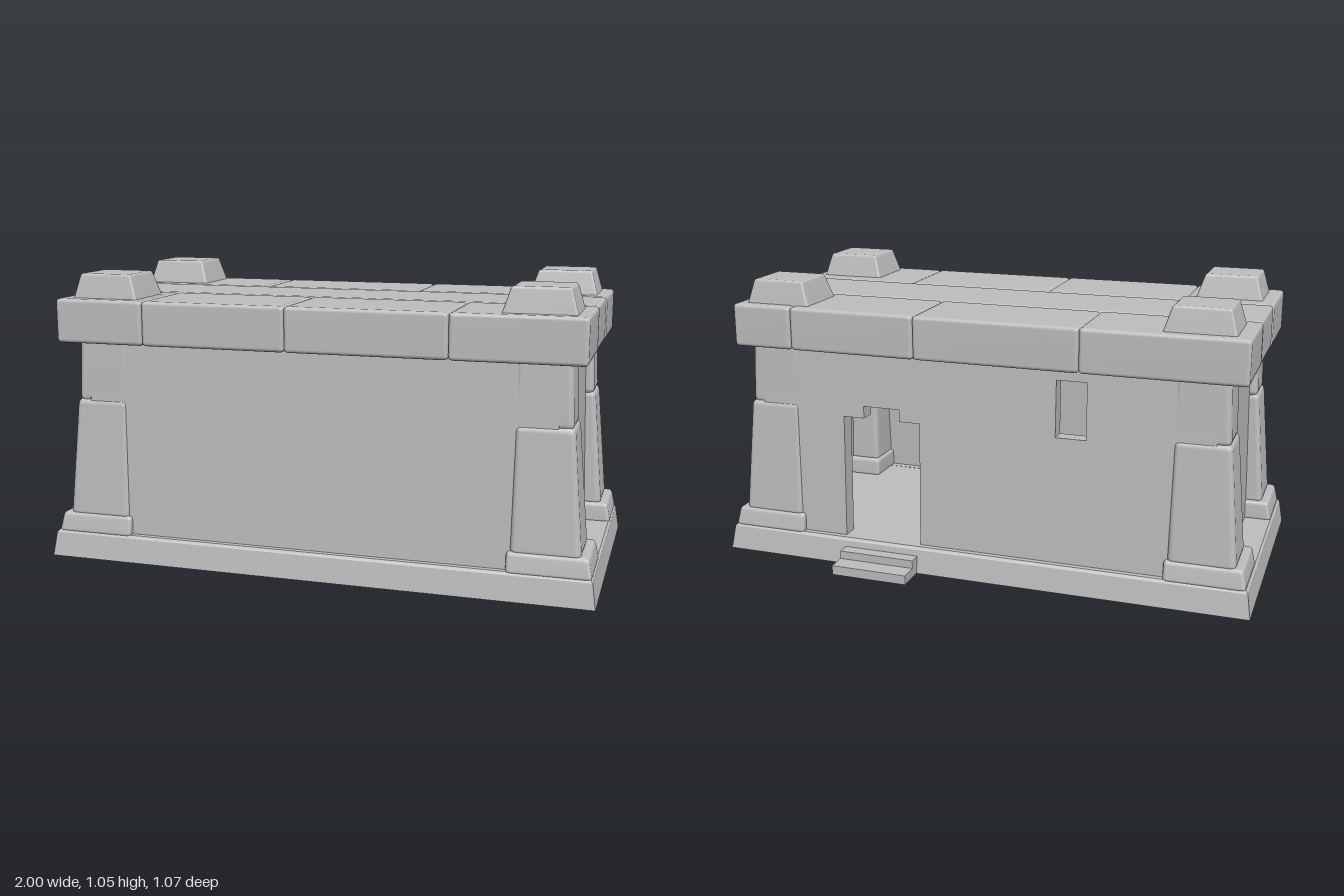
import * as THREE from 'three';
import { mergeVertices } from 'three/addons/utils/BufferGeometryUtils.js';
import { RoundedBoxGeometry } from 'three/addons/geometries/RoundedBoxGeometry.js';

const stone = new THREE.MeshStandardMaterial({ color: 0xbfbfbf });
stone.name = 'grey stone';

// Soft-edged block; each rect is [x0, x1, z0, z1], lerped from bottom to top
function block(name, y0, y1, bottom, top = bottom, radius = 0.014) {
  const w = bottom[1] - bottom[0], h = y1 - y0, d = bottom[3] - bottom[2];
  let geo = new RoundedBoxGeometry(w, h, d, 2, radius);
  const p = geo.attributes.position;
  for (let i = 0; i < p.count; i++) {
    const t = p.getY(i) / h + 0.5;
    const r = bottom.map((v, k) => v + (top[k] - v) * t);
    p.setXYZ(i,
      r[0] + (p.getX(i) / w + 0.5) * (r[1] - r[0]),
      y0 + t * h,
      r[2] + (p.getZ(i) / d + 0.5) * (r[3] - r[2]));
  }
  geo.deleteAttribute('normal');
  geo.deleteAttribute('uv');
  geo = mergeVertices(geo, 1e-5);
  geo.computeVertexNormals();
  return mesh(name, geo);
}

function mesh(name, geo) {
  const m = new THREE.Mesh(geo, stone);
  m.name = name;
  return m;
}

function box(name, x0, x1, y0, y1, z0, z1) {
  const m = mesh(name, new THREE.BoxGeometry(x1 - x0, y1 - y0, z1 - z0));
  m.position.set((x0 + x1) / 2, (y0 + y1) / 2, (z0 + z1) / 2);
  return m;
}

// Hollow rectangular plinth: a profile of [inset, y] swept round the four corners
function plinth() {
  const profile = [[0, 0], [0.013, 0.088], [0.022, 0.098], [0.13, 0.098], [0.1, 0]];
  const pos = [], index = [];
  for (const [i, y] of profile) {
    const x0 = -1 + i, x1 = 0.995 - i, z0 = -0.43 + i, z1 = 0.537 - i;
    pos.push(x0, y, z1, x1, y, z1, x1, y, z0, x0, y, z0);
  }
  for (let r = 0; r < profile.length; r++) {
    const s = (r + 1) % profile.length;
    for (let k = 0; k < 4; k++) {
      const n = (k + 1) % 4;
      const a = r * 4 + k, b = r * 4 + n, c = s * 4 + n, d = s * 4 + k;
      index.push(a, b, c, a, c, d);
    }
  }
  let geo = new THREE.BufferGeometry();
  geo.setAttribute('position', new THREE.Float32BufferAttribute(pos, 3));
  geo.setIndex(index);
  geo = geo.toNonIndexed();
  geo.computeVertexNormals();
  return mesh('plinth', geo);
}

const points = (list) => list.map(([x, y]) => new THREE.Vector2(x, y));

// Slightly leaning back wall with a stepped doorway and a small window
function backWall() {
  const shape = new THREE.Shape(points([
    [-0.85, 0.09], [0.22, 0.09], [0.22, 0.56], [0.3, 0.56], [0.3, 0.605], [0.44, 0.605],
    [0.44, 0.56], [0.52, 0.56], [0.52, 0.09], [0.85, 0.09], [0.85, 0.82], [-0.85, 0.82],
  ]));
  shape.holes.push(new THREE.Path(points([
    [-0.4, 0.56], [-0.4, 0.765], [-0.29, 0.765], [-0.29, 0.56],
  ])));
  const m = mesh('backWall', new THREE.ExtrudeGeometry(shape, { depth: 0.06, bevelEnabled: false }));
  m.position.z = -0.391;
  m.rotation.x = 0.036;
  return m;
}

// Corner pillar with its roof cap; sizes are for the front left, mirrored for the rest
function pillar(side, front) {
  const g = new THREE.Group();
  g.name = (front ? 'front' : 'back') + (side > 0 ? 'Left' : 'Right') + 'Pillar';
  // zSum is the sum of a front z and its mirrored back z
  const place = (inner, outer, z0, z1, zSum = 0.107) => [
    ...(side > 0 ? [inner, outer] : [-outer, -inner]),
    ...(front ? [z0, z1] : [zSum - z1, zSum - z0]),
  ];
  g.add(
    block('foot', 0.09, 0.165, place(0.69, 0.98, 0.27, 0.522), place(0.69, 0.965, 0.275, 0.51)),
    block('shaft', 0.15, 0.592, place(0.7, 0.94, 0.292, 0.505), place(0.705, 0.902, 0.3, 0.482), 0.022),
    block('upperShaft', 0.58, 0.815, place(0.7, 0.898, 0.3, 0.476), place(0.7, 0.888, 0.3, 0.472), 0.022),
    block('cap', 0.94, 1.048, place(0.645, 0.905, 0.258, 0.486, 0.118),
      place(0.68, 0.875, 0.284, 0.467, 0.118), 0.01),
  );
  return g;
}

export function createModel() {
  const model = new THREE.Group();
  model.name = 'stoneHouse';

  // Base and hollow room with leaning walls
  model.add(
    plinth(),
    box('floor', -0.87, 0.87, 0.08, 0.097, -0.31, 0.42),
    box('ceiling', -0.83, 0.83, 0.79, 0.81, -0.32, 0.42),
    block('frontWall', 0.09, 0.82, [-0.85, 0.85, 0.435, 0.495], [-0.85, 0.85, 0.408, 0.468], 0.004),
    block('leftWall', 0.09, 0.82, [0.82, 0.88, -0.31, 0.42], [0.8, 0.86, -0.31, 0.42], 0.004),
    block('rightWall', 0.09, 0.82, [-0.88, -0.82, -0.31, 0.42], [-0.86, -0.8, -0.31, 0.42], 0.004),
    backWall(),
  );

  // Door steps
  model.add(
    box('lowerStep', 0.22, 0.51, 0, 0.035, -0.537, -0.42),
    box('upperStep', 0.22, 0.51, 0.035, 0.065, -0.467, -0.41),
  );

  // Corner pillars
  for (const side of [-1, 1]) {
    for (const front of [true, false]) model.add(pillar(side, front));
  }

  // Roof slabs in rows: z span and seams along x
  const rows = [
    ['frontRoofSlab', 0.2, 0.525, [-0.95, -0.615, -0.085, 0.485, 0.94]],
    ['middleRoofSlab', -0.1, 0.2, [-0.948, 0.938]],
    ['backRoofSlab', -0.403, -0.1, [-0.95, -0.375, 0.23, 0.71, 0.94]],
  ];
  for (const [name, z0, z1, seams] of rows) {
    for (let i = 0; i < seams.length - 1; i++) {
      model.add(block(name, 0.802, 0.961, [seams[i], seams[i + 1], z0, z1]));
    }
  }
  return model;
}
